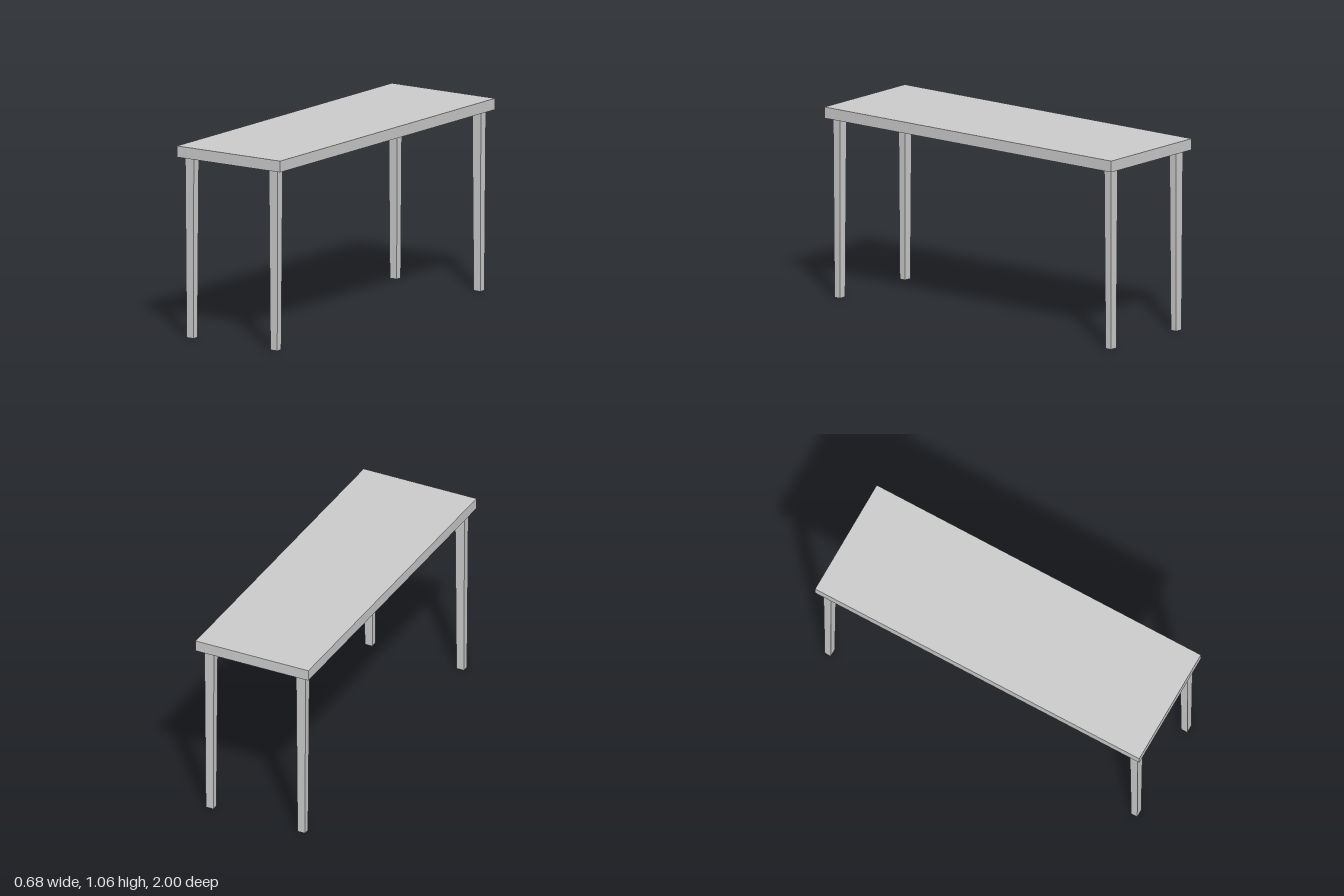
import * as THREE from 'three';

const material = new THREE.MeshStandardMaterial({ color: 0xcccccc, flatShading: true });
const UNDERSIDE = 0.995, TOP = 1.057;

// Rectangular leg, narrowing towards the floor
function taperedLeg(width, depth, height, taper) {
  const geometry = new THREE.BoxGeometry(width, height, depth);
  geometry.translate(0, height / 2, 0);
  const p = geometry.attributes.position;
  for (let i = 0; i < p.count; i++) {
    if (p.getY(i) < height / 2) {
      p.setX(i, p.getX(i) * taper);
      p.setZ(i, p.getZ(i) * taper);
    }
  }
  geometry.computeVertexNormals();
  return geometry;
}

export function createModel() {
  const table = new THREE.Group();
  table.name = 'table';

  // Slab top
  const top = new THREE.Mesh(new THREE.BoxGeometry(0.682, TOP - UNDERSIDE, 2), material);
  top.name = 'tabletop';
  top.position.y = (TOP + UNDERSIDE) / 2;
  table.add(top);

  // Four legs, set very slightly off the middle of the top
  const legGeometry = taperedLeg(0.057, 0.047, UNDERSIDE, 0.79);
  for (const [side, x] of [['Left', 0.275], ['Right', -0.279]]) {
    for (const [end, z] of [['front', 0.947], ['back', -0.944]]) {
      const leg = new THREE.Mesh(legGeometry, material);
      leg.name = `${end}${side}Leg`;
      leg.position.set(x, 0, z);
      table.add(leg);
    }
  }
  return table;
}
